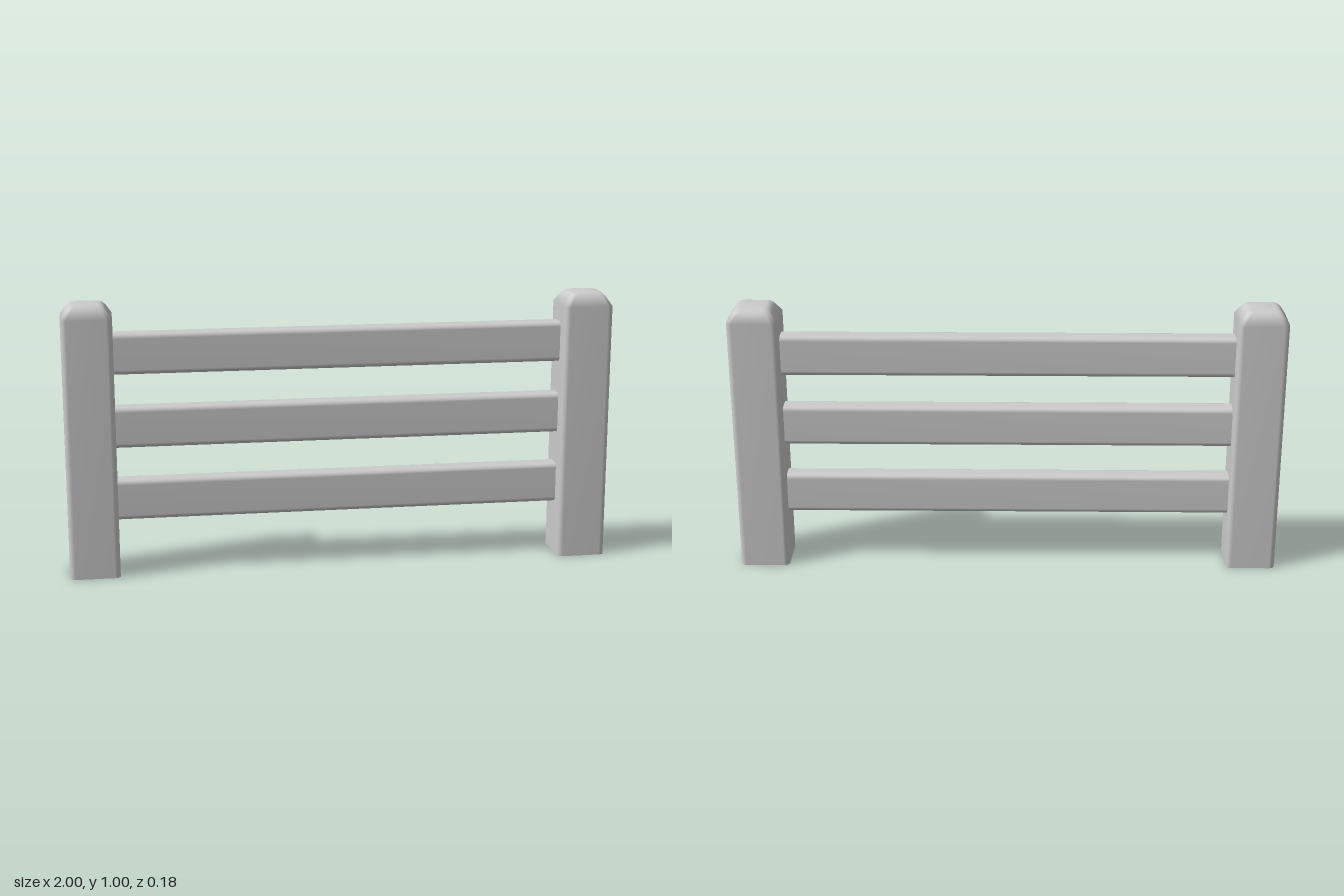
import * as THREE from 'three';

const material = new THREE.MeshStandardMaterial({ color: 0xcccccc, side: THREE.DoubleSide });
const CORNER_STEPS = 4;

// Skin rounded-rectangle sections [height, halfX, halfZ, cornerRadius] stacked along y.
function loft(sections, capped) {
  const positions = [], index = [];
  const n = 4 * (CORNER_STEPS + 1);
  for (const [y, hx, hz, r] of sections) {
    for (let q = 0; q < 4; q++) {
      const sx = q === 0 || q === 3 ? 1 : -1;
      const sz = q < 2 ? 1 : -1;
      for (let k = 0; k <= CORNER_STEPS; k++) {
        const a = (q + k / CORNER_STEPS) * Math.PI / 2;
        positions.push(sx * (hx - r) + r * Math.cos(a), y, sz * (hz - r) + r * Math.sin(a));
      }
    }
  }
  for (let i = 0; i < sections.length - 1; i++) {
    for (let j = 0; j < n; j++) {
      const a = i * n + j, b = i * n + (j + 1) % n;
      index.push(a, a + n, b, b, a + n, b + n);
    }
  }
  if (capped) {
    const base = (sections.length - 1) * n, centre = sections.length * n;
    positions.push(0, sections.at(-1)[0], 0);
    for (let j = 0; j < n; j++) index.push(centre, base + (j + 1) % n, base + j);
  }
  const geometry = new THREE.BufferGeometry();
  geometry.setAttribute('position', new THREE.Float32BufferAttribute(positions, 3));
  geometry.setIndex(index);
  geometry.computeVertexNormals();
  return geometry;
}

export function createModel() {
  const fence = new THREE.Group();
  fence.name = 'fence';

  // Square posts with softened tops, open underneath
  const postGeometry = loft([
    [0, 0.091, 0.091, 0.02],
    [0.952, 0.091, 0.091, 0.02],
    [0.985, 0.07, 0.07, 0.02],
    [0.996, 0.059, 0.059, 0.02],
    [1, 0.046, 0.046, 0.02],
  ], true);
  for (const [name, side] of [['leftPost', 1], ['rightPost', -1]]) {
    const post = new THREE.Mesh(postGeometry, material);
    post.name = name;
    post.position.x = side * 0.909;
    fence.add(post);
  }

  // Three rounded planks running between the posts
  const railGeometry = loft([
    [-0.825, 0.075, 0.0375, 0.018],
    [0.825, 0.075, 0.0375, 0.018],
  ], false).rotateZ(Math.PI / 2);
  ['lowerRail', 'middleRail', 'upperRail'].forEach((name, i) => {
    const rail = new THREE.Mesh(railGeometry, material);
    rail.name = name;
    rail.position.set(0, 0.275 + i * 0.27, -0.005);
    fence.add(rail);
  });

  return fence;
}
